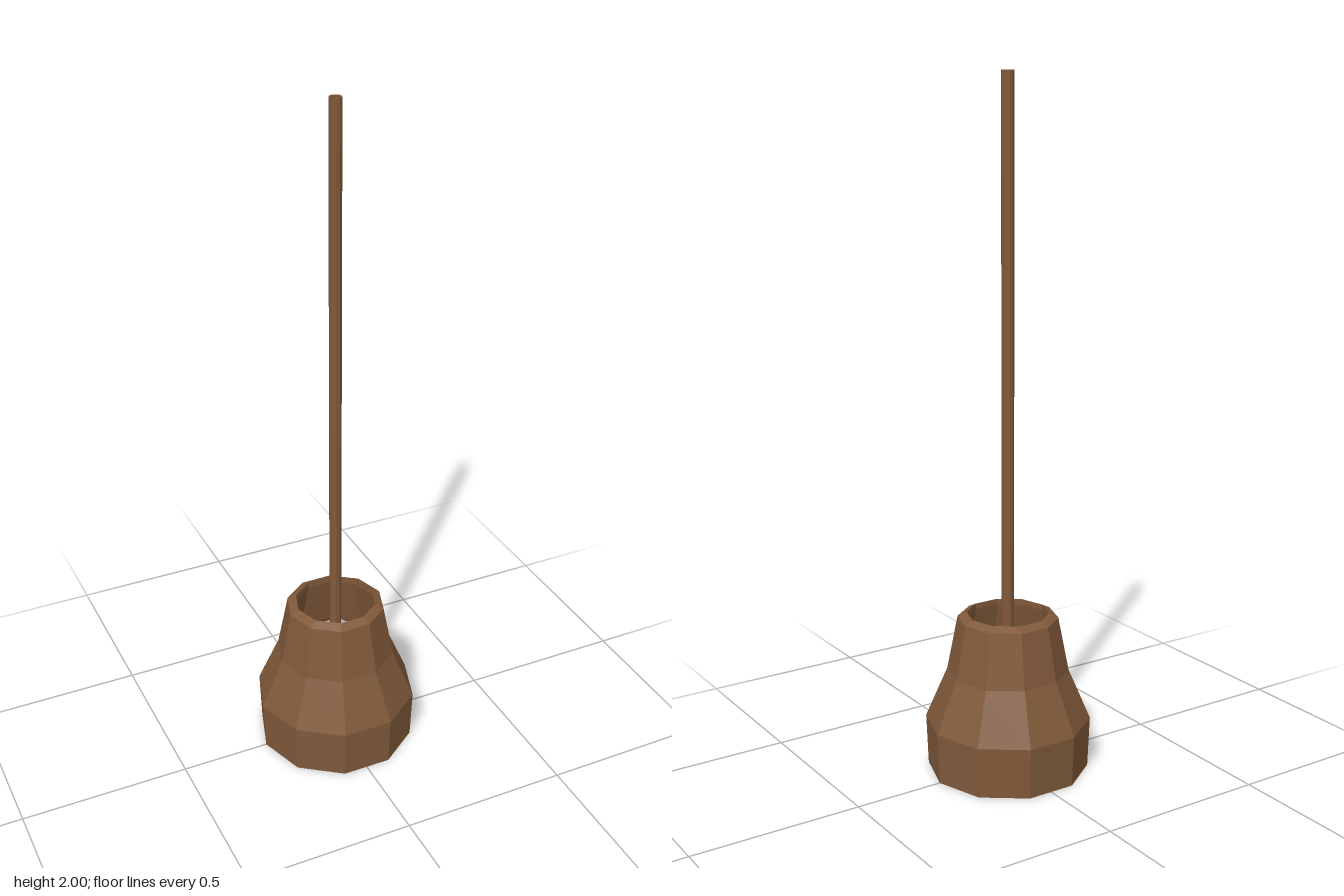
import * as THREE from 'three';

const SIDES = 10;

// Closed ten-sided shell from [radius, height] points, running up the outside and down the inside
function shell(name, profile, material) {
  const points = [...profile, profile[0]].map(([r, y]) => new THREE.Vector2(r, y));
  const faceted = new THREE.LatheGeometry(points, SIDES, Math.PI / 2).toNonIndexed();
  faceted.computeVertexNormals();
  const mesh = new THREE.Mesh(faceted, material);
  mesh.name = name;
  return mesh;
}

export function createModel() {
  const wood = new THREE.MeshStandardMaterial({ color: 0x80593a });
  wood.name = 'brown wood';
  const glass = new THREE.MeshStandardMaterial({ color: 0xcccccc });
  glass.name = 'pale glass';

  const lamp = new THREE.Group();
  lamp.name = 'pendantLamp';

  // Bell-shaped shade, open at the top and bottom
  lamp.add(shell('shade', [
    [0.235, 0], [0.241, 0.15], [0.177, 0.3], [0.146, 0.46], [0.12, 0.473],
    [0.12, 0.455], [0.156, 0.295], [0.219, 0.145], [0.218, 0],
  ], wood));

  // Hollow hanging rod, reaching down to the bulb
  lamp.add(shell('rod', [
    [0.018, 0.375], [0.018, 2], [0.013, 2], [0.013, 0.375],
  ], wood));

  // Round bulb inside the shade, with smooth normals
  const ball = new THREE.IcosahedronGeometry(0.117, 1);
  const pos = ball.attributes.position;
  const v = new THREE.Vector3();
  for (let i = 0; i < pos.count; i++) {
    v.fromBufferAttribute(pos, i).normalize();
    ball.attributes.normal.setXYZ(i, v.x, v.y, v.z);
  }
  const bulb = new THREE.Mesh(ball, glass);
  bulb.name = 'bulb';
  bulb.position.y = 0.262;
  lamp.add(bulb);

  return lamp;
}
